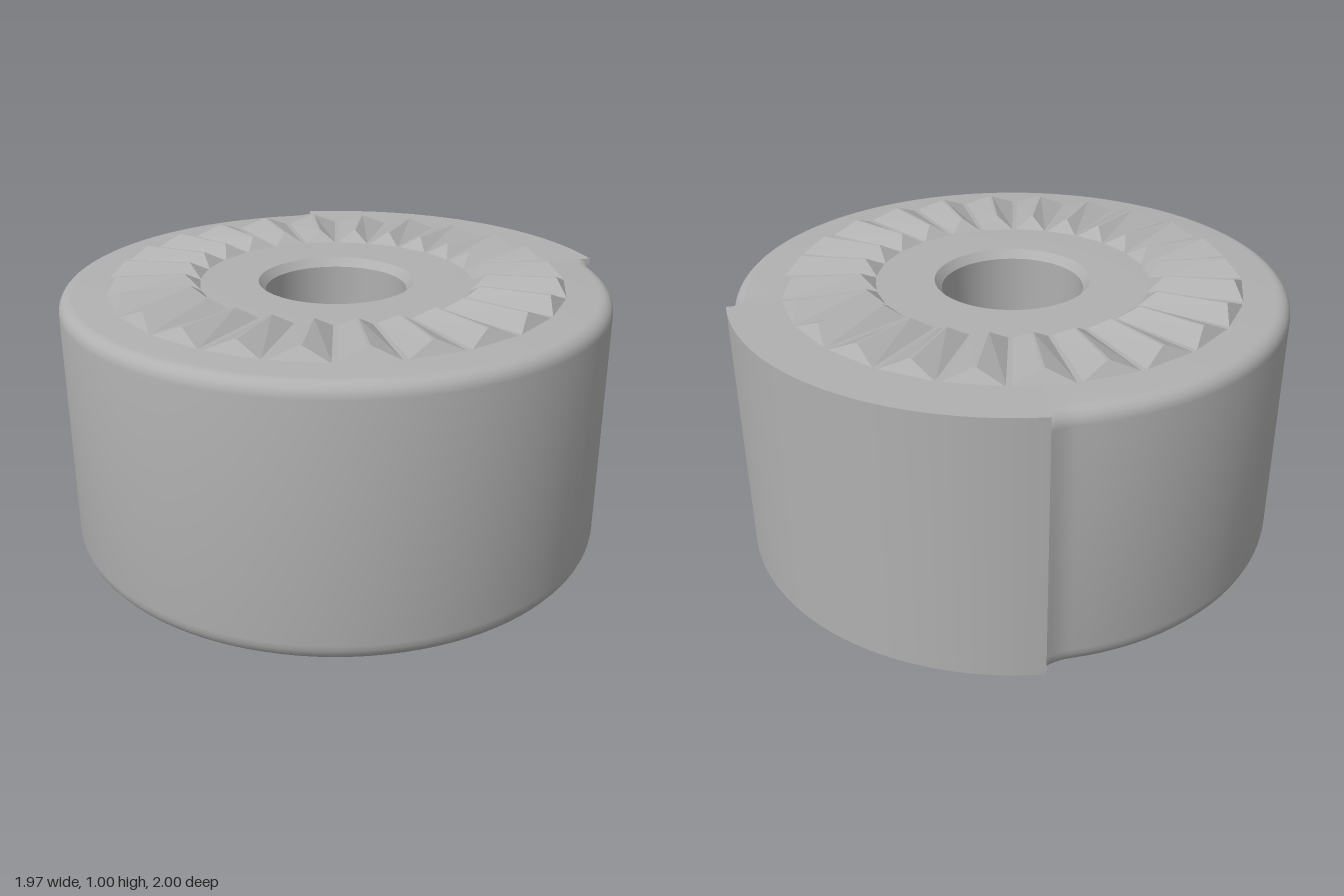
import * as THREE from 'three';
import { toCreasedNormals } from 'three/addons/utils/BufferGeometryUtils.js';

const CENTRE_Z = 0.01, TOP = 0.96;
const rad = THREE.MathUtils.degToRad;

// Point at angle phi (0 = front, turning towards +x)
const polar = (r, phi, y) => [r * Math.sin(phi), y, r * Math.cos(phi)];

function makeGeometry(triangles) {
  const g = new THREE.BufferGeometry();
  g.setAttribute('position', new THREE.Float32BufferAttribute(triangles.flat(2), 3));
  g.computeVertexNormals();
  return g;
}

// Round body with a raised, square-edged pad at the back and a blind bore
function bodyGeometry() {
  const padEnd = 40.8, blend = 5, wall = 0.985, pad = 1.01;

  // Columns: angle, outline radius and how much of the edge rounding applies
  const columns = [];
  const add = (deg, r, round) => columns.push({ phi: rad(deg), r, round });
  const wallEnd = 180 - padEnd - blend;
  for (let i = 0; i <= 80; i++) add(-wallEnd + (2 * wallEnd * i) / 80, wall, 1);
  for (let i = 1; i <= 6; i++) add(wallEnd + (blend * i) / 6, wall + (pad - wall) * (i / 6) ** 2, 1);
  for (let i = 0; i <= 28; i++) add(180 - padEnd + (2 * padEnd * i) / 28, pad, 0);
  for (let i = 6; i >= 1; i--) add(360 - wallEnd - (blend * i) / 6, wall + (pad - wall) * (i / 6) ** 2, 1);
  add(360 - wallEnd, wall, 1);

  // Rings from the middle of the underside, up the wall, over the top, into the bore
  const rings = [{ r: 0, y: 0 }];
  for (let i = 0; i <= 4; i++) {
    const a = rad(60 - 15 * i);
    rings.push({ inset: 0.08 * (1 - Math.cos(a)), y: 0.08 * (Math.sin(rad(60)) - Math.sin(a)) });
  }
  for (let i = 0; i <= 5; i++) {
    const a = rad(18 * i);
    rings.push({ inset: 0.05 * (1 - Math.cos(a)), y: TOP - 0.05 + 0.05 * Math.sin(a) });
  }
  rings.push({ r: 0.28, y: TOP }, { r: 0.255, y: TOP - 0.03 }, { r: 0.255, y: 0.45 }, { r: 0, y: 0.45 });

  const at = (ring, c) => polar(ring.r ?? c.r - ring.inset * c.round, c.phi, ring.y);
  const tris = [];
  for (let k = 0; k < rings.length - 1; k++) {
    for (let j = 0; j < columns.length - 1; j++) {
      const a = at(rings[k], columns[j]), b = at(rings[k], columns[j + 1]);
      const c = at(rings[k + 1], columns[j + 1]), d = at(rings[k + 1], columns[j]);
      if (rings[k].r !== 0) tris.push([a, b, c]);
      if (rings[k + 1].r !== 0) tris.push([a, c, d]);
      else if (rings[k].r === 0) continue;
    }
  }
  return toCreasedNormals(makeGeometry(tris), 0.45);
}

// Radial wedge tooth with a narrow crest and sloped ends
function toothGeometry() {
  const base = rad(7.1), crest = rad(0.4);
  const bottom = TOP - 0.002;
  const section = (r, half, y) => [polar(r, -half, y), polar(r, half, y)];
  const [oL, oR] = section(0.825, base, bottom);
  const [iL, iR] = section(0.49, base, bottom);
  const [otL, otR] = section(0.785, crest, 1);
  const [itL, itR] = section(0.54, crest, 1);
  const quad = (a, b, c, d) => [[a, b, c], [a, c, d]];
  return makeGeometry([
    ...quad(oL, oR, otR, otL),   // outer end
    ...quad(iR, iL, itL, itR),   // inner end
    ...quad(oR, iR, itR, otR),   // flanks
    ...quad(iL, oL, otL, itL),
    ...quad(otL, otR, itR, itL), // crest
  ]);
}

export function createModel() {
  const model = new THREE.Group();
  model.name = 'toothedCoupling';
  model.position.z = CENTRE_Z;

  const grey = new THREE.MeshStandardMaterial({ color: 0xb0b0b0 });
  grey.name = 'grey';

  const body = new THREE.Mesh(bodyGeometry(), grey);
  body.name = 'body';
  model.add(body);

  // Ring of face teeth
  const teeth = new THREE.Group();
  teeth.name = 'faceTeeth';
  const tooth = toothGeometry();
  const count = 24;
  for (let i = 0; i < count; i++) {
    const mesh = new THREE.Mesh(tooth, grey);
    mesh.name = 'tooth';
    mesh.rotation.y = rad(-3.75 + (360 / count) * i);
    teeth.add(mesh);
  }
  model.add(teeth);

  const root = new THREE.Group();
  root.name = 'model';
  root.add(model);
  return root;
}
